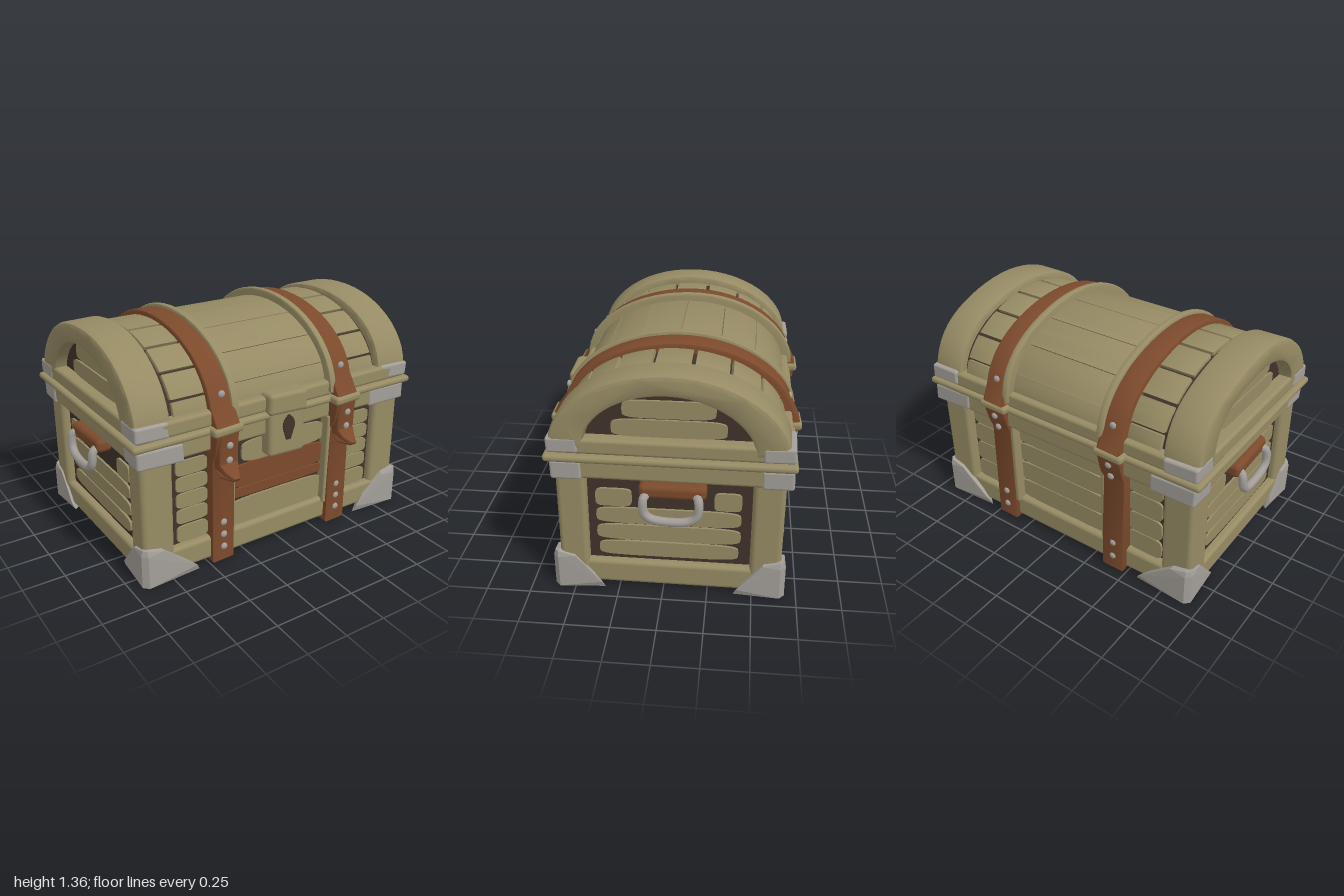
import * as THREE from 'three';
import { toCreasedNormals } from 'three/addons/utils/BufferGeometryUtils.js';
import { RoundedBoxGeometry } from 'three/addons/geometries/RoundedBoxGeometry.js';
import { ConvexGeometry } from 'three/addons/geometries/ConvexGeometry.js';

const material = (name, color) => Object.assign(new THREE.MeshStandardMaterial({ color }), { name });
const CZ = -0.04, BASE = 0.9; // centre of the lid arch

export function createModel() {
  const chest = new THREE.Group();
  chest.name = 'treasureChest';
  const wood = material('tan wood', 0x968b64);
  const dark = material('dark gaps', 0x40322a);
  const leather = material('brown leather', 0x7c4a2c);
  const steel = material('grey steel', 0xa39e98);

  const add = (name, geo, mat, parent = chest) => {
    const mesh = new THREE.Mesh(geo, mat);
    mesh.name = name;
    parent.add(mesh);
    return mesh;
  };

  // gentle hand-hewn wobble
  const warp = (geo, a = 0.006) => {
    const p = geo.attributes.position;
    for (let i = 0; i < p.count; i++) {
      const x = p.getX(i), y = p.getY(i), z = p.getZ(i);
      p.setXYZ(i, x + a * Math.sin(9 * y + 5 * z), y + a * Math.sin(7 * x + 4 * z), z + a * Math.sin(6 * x + 8 * y));
    }
    return geo;
  };

  // rounded box given by its limits
  const box = (name, mat, x0, x1, y0, y1, z0, z1, r = 0.02) => {
    const g = new RoundedBoxGeometry(x1 - x0, y1 - y0, z1 - z0, 2, r);
    g.translate((x0 + x1) / 2, (y0 + y1) / 2, (z0 + z1) / 2);
    return add(name, warp(g), mat);
  };

  // side profile of [z, y] points swept from x0 to x1
  const sweep = (pts, x0, x1, bevel = 0.01) => {
    const shape = new THREE.Shape(pts.map(([z, y]) => new THREE.Vector2(-z, y)));
    const g = new THREE.ExtrudeGeometry(shape, {
      depth: x1 - x0 - 2 * bevel, bevelEnabled: bevel > 0, bevelSize: bevel,
      bevelThickness: bevel, bevelOffset: -bevel, bevelSegments: 2,
    });
    g.rotateY(Math.PI / 2).translate(x0 + bevel, 0, 0);
    return toCreasedNormals(g, 0.6);
  };

  // points along the arch, from front (t = 0) to back (t = PI)
  const arc = (a, h, t0 = 0, t1 = Math.PI, n = 28) => Array.from({ length: n + 1 }, (_, i) => {
    const t = t0 + (t1 - t0) * i / n;
    return [CZ + a * Math.cos(t), BASE + h * Math.sin(t)];
  });
  const band = (a0, h0, a1, h1, t0, t1, n) => [...arc(a0, h0, t0, t1, n), ...arc(a1, h1, t0, t1, n).reverse()];

  // body core, floor, corner posts and rails
  box('bodyCore', dark, -0.865, 0.865, 0.05, 0.84, -0.6, 0.54);
  box('floor', wood, -0.89, 0.89, 0.02, 0.12, -0.635, 0.565);
  for (const s of [-1, 1]) {
    const lo = (a, b) => Math.min(s * a, s * b), hi = (a, b) => Math.max(s * a, s * b);
    for (const [z0, z1] of [[0.42, 0.585], [-0.655, -0.48]])
      box('cornerPost', wood, lo(0.72, 0.915), hi(0.72, 0.915), 0.03, 0.78, z0, z1, 0.03);
    box('sideBottomRail', wood, lo(0.75, 0.91), hi(0.75, 0.91), 0.025, 0.17, -0.64, 0.57, 0.025);
  }
  box('frontBottomRail', wood, -0.9, 0.9, 0.025, 0.17, 0.4, 0.585, 0.025);
  box('backBottomRail', wood, -0.9, 0.9, 0.025, 0.17, -0.655, -0.45, 0.025);
  box('bodyTopRail', wood, -0.93, 0.93, 0.72, 0.835, -0.685, 0.595);
  box('seamLip', wood, -0.965, 0.965, 0.83, 0.872, -0.71, 0.63);
  box('lidRim', wood, -0.935, 0.935, 0.868, 0.96, -0.69, 0.605);

  // inset planks on the body walls
  const blob = (w, h) => {
    const pow = (v) => Math.sign(v) * Math.abs(v) ** 0.4;
    const pts = Array.from({ length: 28 }, (_, i) => {
      const t = i / 28 * 2 * Math.PI;
      return new THREE.Vector2(w / 2 * pow(Math.cos(t)), h / 2 * pow(Math.sin(t)));
    });
    return new THREE.ExtrudeGeometry(new THREE.Shape(pts), { depth: 0.014, bevelEnabled: false });
  };
  const wall = (name, x, z, turn, planks) => {
    const g = new THREE.Group();
    g.name = name;
    g.position.set(x, 0, z);
    g.rotation.y = turn;
    chest.add(g);
    for (const [u0, u1, y0, y1, mat = wood] of planks)
      add('plank', blob(u1 - u0, y1 - y0).translate((u0 + u1) / 2, (y0 + y1) / 2, 0), mat, g);
  };
  const rows = [[0.18, 0.285], [0.3, 0.39], [0.4, 0.49], [0.5, 0.59], [0.6, 0.69]];
  const outer = rows.flatMap(([a, b]) => [[-0.69, -0.49, a, b], [0.49, 0.69, a, b]]);
  wall('frontPlanks', 0, 0.543, 0, [...outer, [-0.35, 0.35, 0.17, 0.335],
    [-0.35, 0.35, 0.35, 0.41, leather], [-0.35, 0.35, 0.415, 0.56, leather], [-0.26, 0.33, 0.565, 0.7]]);
  wall('backPlanks', 0, -0.603, Math.PI, [[0.17, 0.3], [0.305, 0.44], [0.445, 0.58], [0.585, 0.72]]
    .flatMap(([a, b]) => [[-0.36, 0.36, a, b], [-0.705, -0.48, a, b], [0.48, 0.705, a, b]]));
  for (const s of [-1, 1]) {
    wall('sidePlanks', s * 0.868, -0.03, s * Math.PI / 2, [[-0.39, 0.39, 0.205, 0.3], [-0.4, 0.4, 0.31, 0.41],
      [-0.4, 0.4, 0.42, 0.52], [-0.4, -0.2, 0.53, 0.64], [0.25, 0.4, 0.53, 0.64]]);
    wall('lidEndPlanks', s * 0.862, -0.03, s * Math.PI / 2, [[-0.3, 0.31, 0.965, 1.065], [-0.24, 0.25, 1.075, 1.175]]);
  }

  // barrel lid: dark core, end arches, curved planks
  add('lidCore', sweep(arc(0.59, 0.388), -0.86, 0.86, 0), dark);
  for (const x of [-0.94, 0.72])
    add('lidEndArch', warp(sweep(band(0.64, 0.44, 0.455, 0.32, 0, Math.PI, 28), x, x + 0.22, 0.025)), wood);
  const planks = (x0, x1, n, gap) => {
    for (let i = 0; i < n; i++) {
      const t0 = i / n * Math.PI + gap, t1 = (i + 1) / n * Math.PI - gap;
      add('lidPlank', sweep(band(0.612, 0.41, 0.57, 0.37, t0, t1, 6), x0, x1, 0.006), wood);
    }
  };
  planks(-0.36, 0.36, 8, 0.004);
  planks(-0.695, -0.48, 9, 0.018);
  planks(0.48, 0.695, 9, 0.018);

  // straps around the whole chest, each with a raised edge, tongue and rivets
  const strapPath = [[-0.685, 0.01], [0.61, 0.01], [0.605, 0.66], [0.64, 0.72], [0.665, 0.82], [0.675, 0.88],
    ...arc(0.655, 0.437, 0.2, Math.PI - 0.2, 26), [-0.735, 0.88], [-0.725, 0.82], [-0.7, 0.72], [-0.675, 0.66]];
  const edgePath = arc(0.668, 0.457);
  const tonguePath = [[0.62, 0.88], [0.68, 0.86], [0.668, 0.75], [0.665, 0.66], [0.7, 0.625], [0.748, 0.6],
    [0.735, 0.58], [0.66, 0.58], [0.61, 0.62], [0.59, 0.8]];
  const rivets = [[0.1, 0.612], [0.18, 0.61], [0.26, 0.609], [0.68, 0.668], [0.77, 0.672], [1.04, 0.587],
    [0.1, -0.684], [0.2, -0.682], [0.7, -0.698], [0.79, -0.72], [1.02, -0.672]];
  for (const s of [-1, 1]) {
    const c = s * 0.415;
    add('strap', warp(sweep(strapPath, c - 0.075, c + 0.075, 0.012), 0.004), leather);
    add('strapRaisedEdge', warp(sweep(edgePath, s * 0.34 - 0.022, s * 0.34 + 0.022, 0.012), 0.004), wood);
    box('strapSeamLip', wood, c - 0.095, c + 0.095, 0.835, 0.885, -0.745, 0.69);
    for (const [z0, z1] of [[0.5, 0.602], [-0.675, -0.57]])
      box('strapSideEdge', wood, s * 0.34 - 0.015, s * 0.34 + 0.015, 0.15, 0.74, z0, z1, 0.01);
    const tongue = sweep(tonguePath, -0.062, 0.062, 0.01), p = tongue.attributes.position;
    for (let i = 0; i < p.count; i++) { // narrow towards the tip
      const k = THREE.MathUtils.clamp((p.getZ(i) - 0.66) / 0.085, 0, 1);
      p.setX(i, p.getX(i) * (1 - 0.7 * k) + c);
    }
    add('strapTongue', toCreasedNormals(tongue, 0.6), leather);
    for (const [y, z] of rivets) {
      const r = add('rivet', new THREE.SphereGeometry(0.021, 12, 8), steel);
      r.position.set(c, y, z);
      r.scale.z = 0.6;
    }
  }

  // steel corners
  for (const s of [-1, 1]) for (const f of [-1, 1]) {
    const x = s * 0.935, z = f > 0 ? 0.62 : -0.685;
    const pts = [[0.03, 0, 0], [0, 0, 0.03], [0.36, 0, 0.02], [0.34, 0.04, 0.005], [0.13, 0.21, 0.005],
      [0.03, 0.235, 0.01], [0.01, 0.235, 0.03], [0.005, 0.21, 0.13], [0.005, 0.04, 0.27], [0.02, 0, 0.29],
      [0.03, 0.2, 0], [0, 0.2, 0.03], [0.1, 0.235, 0.1]]
      .map(([a, b, c]) => new THREE.Vector3(x - s * a, b, z - f * c));
    add('baseCorner', new ConvexGeometry(pts), steel);
    const bracket = (w, y0, y1, out) => {
      const bx = [s * (0.937 + out), s * (0.937 - w)].sort((a, b) => a - b);
      const zo = (f > 0 ? 0.603 : -0.693) + f * out;
      const bz = [zo, zo - f * 0.17].sort((a, b) => a - b);
      box('rimBracket', steel, bx[0], bx[1], y0, y1, bz[0], bz[1], 0.015);
    };
    bracket(0.28, 0.716, 0.826, 0);
    bracket(0.2, 0.876, 0.965, 0.006);
  }

  // lock with keyhole
  box('lockPlate', wood, -0.125, 0.125, 0.585, 0.92, 0.5, 0.64, 0.025);
  box('lockHasp', wood, -0.132, 0.132, 0.85, 0.98, 0.5, 0.652, 0.025);
  const hole = new THREE.Shape();
  hole.moveTo(0, 0.085);
  hole.quadraticCurveTo(0.05, 0.05, 0.038, 0);
  hole.lineTo(0.015, -0.07);
  hole.lineTo(-0.015, -0.07);
  hole.lineTo(-0.038, 0);
  hole.quadraticCurveTo(-0.05, 0.05, 0, 0.085);
  add('keyhole', new THREE.ExtrudeGeometry(hole, { depth: 0.008, bevelEnabled: false }), dark).position.set(0, 0.76, 0.642);

  // side handles: leather mount and steel loop
  for (const s of [-1, 1]) {
    const x = [s * 0.85, s * 0.955].sort((a, b) => a - b);
    box('handleMount', leather, x[0], x[1], 0.625, 0.71, -0.235, 0.13, 0.03);
    const path = new THREE.CatmullRomCurve3([[0.94, 0.65, 0.085], [0.965, 0.64, 0.095], [0.975, 0.56, 0.09],
      [0.975, 0.522, 0.05], [0.975, 0.518, -0.15], [0.975, 0.56, -0.195], [0.965, 0.64, -0.2], [0.94, 0.65, -0.19]]
      .map(([a, b, c]) => new THREE.Vector3(s * a, b, c)));
    add('handleLoop', new THREE.TubeGeometry(path, 40, 0.025, 8), steel);
  }
  return chest;
}
